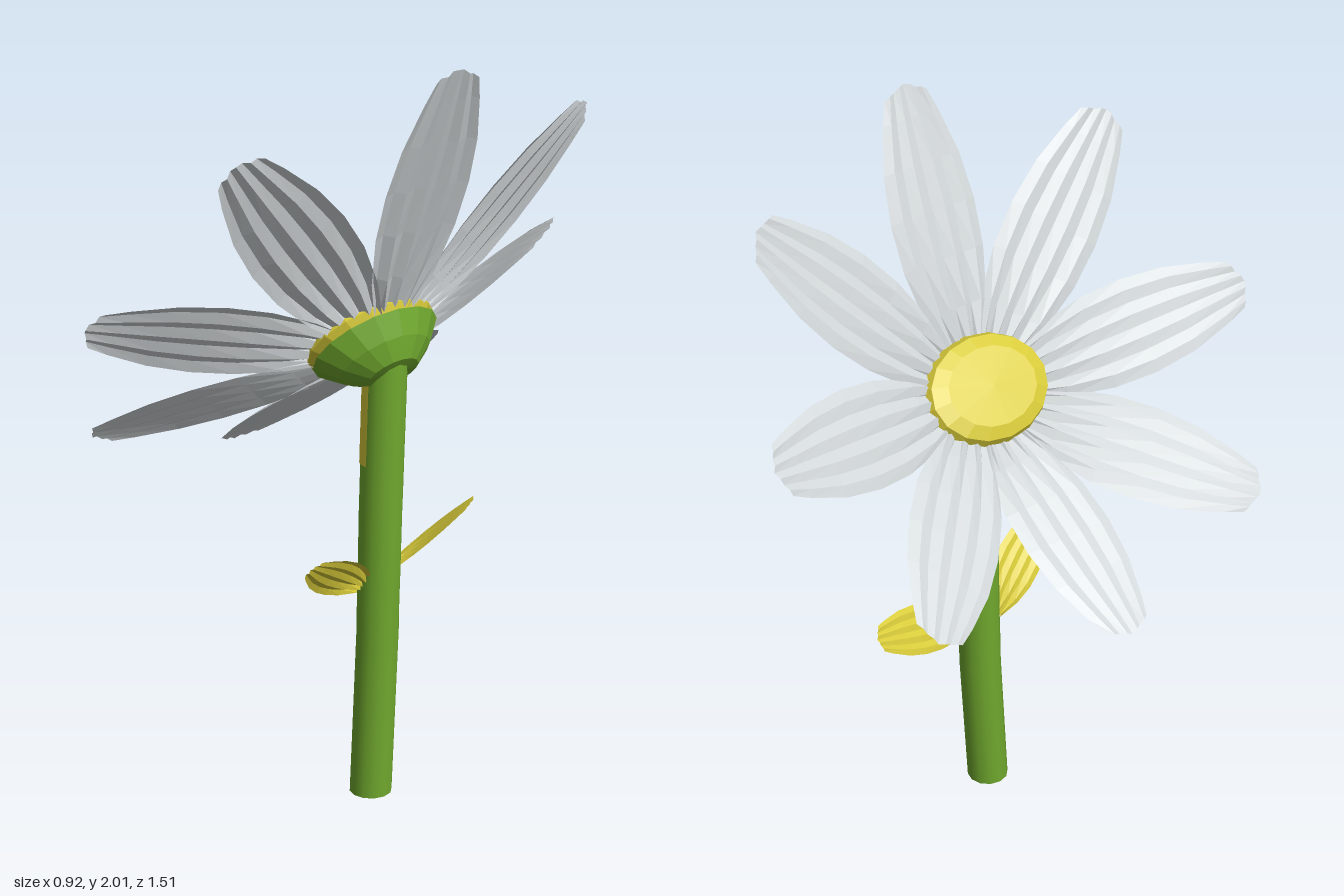
import * as THREE from 'three';

const mat = (name, color) => {
  const m = new THREE.MeshStandardMaterial({ color, side: THREE.DoubleSide });
  m.name = name;
  return m;
};

// Split shared corners so every face is shaded flat
function faceted(geometry) {
  const g = geometry.index ? geometry.toNonIndexed() : geometry;
  g.computeVertexNormals();
  return g;
}

// Ribbed blade along +x, width along z, rising in y
function blade(length, halfWidth, start, slope, rib) {
  const rows = [[0, 0.35], [0.2, 0.76], [0.38, 0.96], [0.55, 1], [0.72, 0.9], [0.88, 0.66], [0.96, 0.5]];
  const cols = 8, pos = [], index = [];
  rows.forEach(([t, w], i) => {
    for (let j = 0; j <= cols; j++) {
      const s = (j / cols) * 2 - 1;
      const tip = i === rows.length - 1 ? 0.04 * (1 - Math.abs(s)) : 0;
      const run = (t + tip) * (length - start);
      const fold = (j % 2 ? rib : -rib) * (1 - 0.6 * t);
      pos.push(start + run, run * slope + fold, s * w * halfWidth);
      if (i && j) {
        const a = (i - 1) * (cols + 1) + j - 1, b = a + cols + 1;
        index.push(a, a + 1, b, b, a + 1, b + 1);
      }
    }
  });
  const g = new THREE.BufferGeometry();
  g.setAttribute('position', new THREE.Float32BufferAttribute(pos, 3));
  g.setIndex(index);
  return faceted(g);
}

// Bend a unit cylinder through a list of centre points
function bentCylinder(path, radius, open, thetaStart, thetaLength) {
  const n = path.length - 1;
  const g = new THREE.CylinderGeometry(radius, radius, 1, 12, n, open, thetaStart, thetaLength);
  const p = g.attributes.position;
  for (let i = 0; i < p.count; i++) {
    const c = path[Math.round((p.getY(i) + 0.5) * n)];
    p.setXYZ(i, p.getX(i) + c[0], c[1], p.getZ(i) + c[2]);
  }
  return g;
}

export function createModel() {
  const model = new THREE.Group();
  model.name = 'flower';
  const white = mat('petal white', 0xd3d8da);
  const yellow = mat('yellow', 0xd8cb3a);
  const green = mat('stem green', 0x70a82e);

  const add = (parent, name, geometry, material) => {
    const mesh = new THREE.Mesh(geometry, material);
    mesh.name = name;
    parent.add(mesh);
    return mesh;
  };
  const tilt = Math.atan2(0.78, 0.63);

  // Stem
  const path = [[0.14, 0, 0], [0.105, 0.44, -0.05], [0.104, 0.52, -0.052], [0.112, 0.6, -0.048],
    [0.165, 0.8, -0.008], [0.178, 0.88, 0], [0.181, 0.96, 0], [0.192, 1.23, 0]];
  add(model, 'stem', bentCylinder(path, 0.057, false, 0, Math.PI * 2), green);

  // Pale strip on the upper stem
  add(model, 'stemStrip', bentCylinder([[0.181, 0.95, 0], [0.192, 1.22, 0]], 0.059, true, -1.75, 1.85), yellow);

  // Flower head, tilted so its local y is the facing direction
  const head = new THREE.Group();
  head.name = 'flowerHead';
  head.position.set(0.15, 1.26, 0);
  head.rotation.z = tilt;
  model.add(head);

  const lathe = (points) => {
    const g = new THREE.LatheGeometry(points.map(([x, y]) => new THREE.Vector2(x, y)), 16);
    g.scale(0.145 / 0.188, 1, 1);
    return faceted(g);
  };
  add(head, 'calyx', lathe([[0, -0.1], [0.075, -0.095], [0.135, -0.055], [0.188, 0], [0.17, 0.006]]), green);
  add(head, 'flowerCentre', lathe([[0.17, 0.005], [0.19, 0.022], [0.178, 0.045], [0.135, 0.06], [0, 0.064]]), yellow);

  // Petals, mirrored from top to bottom
  const lengths = [0.78, 0.78, 0.755, 0.75, 0.715];
  for (let i = 0; i < 8; i++) {
    const petal = add(head, 'petal', blade(lengths[Math.min(i, 8 - i)], 0.132, 0.08, 0.33, 0.008), white);
    petal.rotation.y = (i * Math.PI) / 4;
  }

  // Leaves
  const leaf = (name, position, angle, length, slope) => {
    const holder = new THREE.Group();
    holder.name = name;
    holder.position.set(...position);
    holder.rotation.z = tilt;
    const mesh = add(holder, name + 'Blade', blade(length, 0.068, 0, slope, 0.005), yellow);
    mesh.rotation.y = angle;
    model.add(holder);
  };
  leaf('frontLeaf', [0.105, 0.58, 0], -0.93, 0.32, 0.02);
  leaf('backLeaf', [0.1, 0.605, -0.08], 1.41, 0.345, 0.28);

  return model;
}
